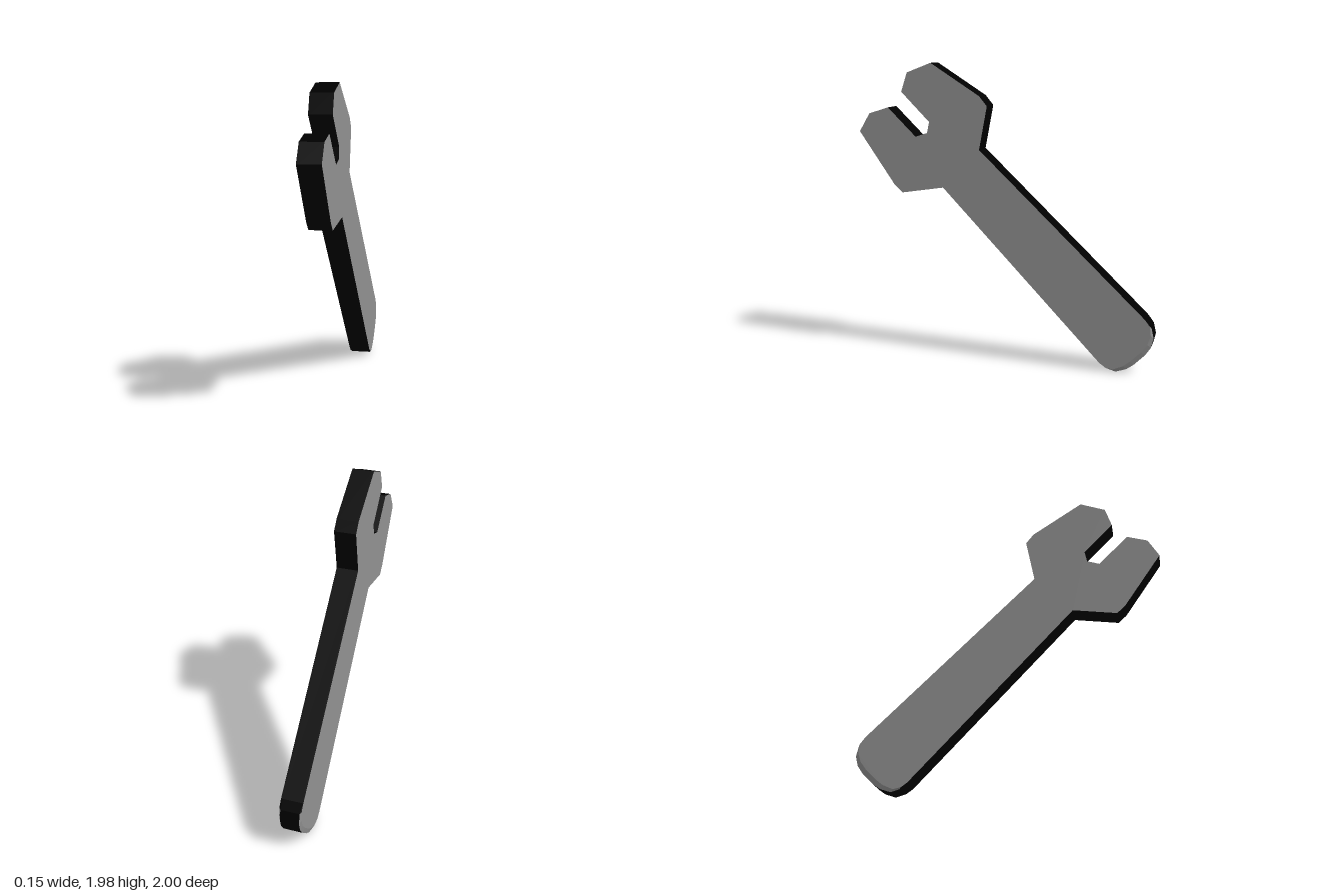
import * as THREE from 'three';

// Wrench silhouette as [z, y] pairs, seen from the right side
const OUTLINE = [
  // upper jaw
  [0.49, 1.98], [0.16, 1.77], [0.108, 1.706], [0.162, 1.422],
  // rounded handle end
  [-0.941, 0.369], [-0.984, 0.316], [-1, 0.246], [-0.984, 0.182], [-0.947, 0.128],
  [-0.877, 0.059], [-0.829, 0.024], [-0.759, 0], [-0.7, 0.017], [-0.652, 0.053],
  // lower jaw
  [0.413, 1.165], [0.702, 1.12], [0.756, 1.17], [1, 1.524], [0.928, 1.645], [0.794, 1.687],
  // slot between the jaws
  [0.601, 1.497], [0.52, 1.524], [0.505, 1.597], [0.697, 1.791], [0.655, 1.917],
];
const HALF = 0.073;      // half thickness
const CHAMFER = 0.01;    // depth of the chamfer at the handle end
const AXIS = [0.72, 0.69]; // from the handle end towards the head, in (z, y)

export function createModel() {
  const group = new THREE.Group();
  group.name = 'wrench';

  // Extrude in three layers so the outer ones can carry the end chamfer
  const shape = new THREE.Shape(OUTLINE.map(([z, y]) => new THREE.Vector2(-z, y)));
  const geometry = new THREE.ExtrudeGeometry(shape, { depth: 2 * HALF, steps: 3, bevelEnabled: false });
  geometry.translate(0, 0, -HALF);
  geometry.rotateY(Math.PI / 2);

  const pos = geometry.attributes.position;
  for (let i = 0; i < pos.count; i++) {
    const x = pos.getX(i), y = pos.getY(i), z = pos.getZ(i);
    if (Math.abs(x) < HALF - 0.001) {
      pos.setX(i, Math.sign(x) * (HALF - CHAMFER));
    } else {
      // pull the rim of the broad faces back from the handle tip
      const beyond = -(z * AXIS[0] + y * AXIS[1]) - 0.43;
      const past = z < -0.6 && beyond > 0 ? beyond * 0.2 : 0;
      pos.setXYZ(i, Math.sign(x) * HALF, y + AXIS[1] * past, z + AXIS[0] * past);
    }
  }
  geometry.computeVertexNormals();

  // Broad faces and chamfer are grey, the upright rim is black
  geometry.clearGroups();
  for (let i = 0; i < pos.count; i += 3) {
    geometry.addGroup(i, 3, Math.abs(geometry.attributes.normal.getX(i)) > 0.3 ? 0 : 1);
  }
  const faces = new THREE.MeshStandardMaterial({ color: 0x919191 });
  const rim = new THREE.MeshStandardMaterial({ color: 0x000000 });
  const body = new THREE.Mesh(geometry, [faces, rim]);
  body.name = 'wrenchBody';
  group.add(body);
  return group;
}
